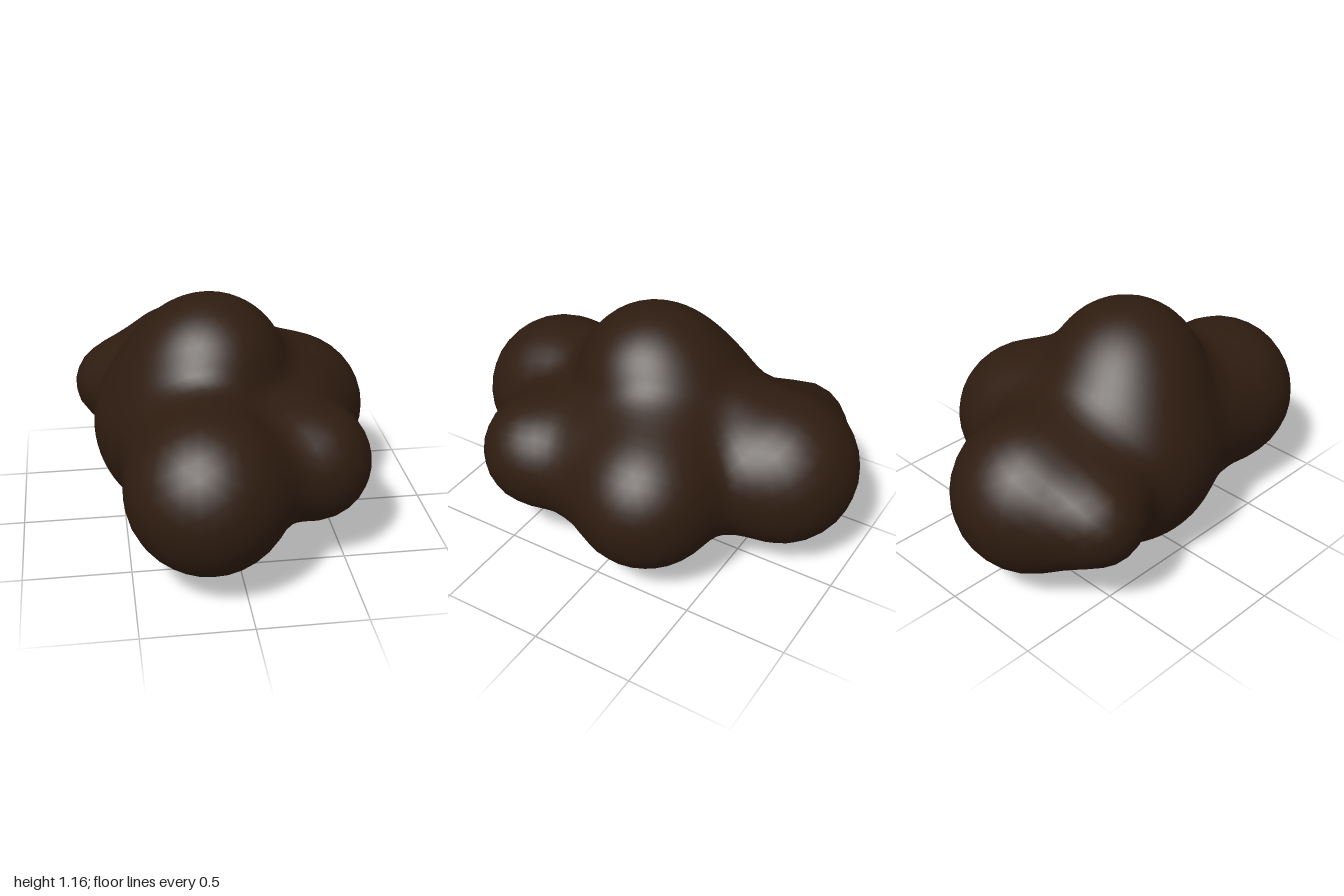
import * as THREE from 'three';
import { mergeVertices } from 'three/addons/utils/BufferGeometryUtils.js';

// Lobes of the lump: x, y, z, radius
const LOBES = [
  [-0.15, 0.48, -0.08, 0.48],   // core
  [-0.08, 0.79, 0.03, 0.368],   // crown
  [-0.155, 0.48, 0.625, 0.375], // front
  [-0.18, 0.48, 0.32, 0.3],     // bridge from core to front
  [0.34, 0.48, 0.41, 0.28],     // front left
  [0.36, 0.48, -0.19, 0.352],   // left
  [0.18, 0.48, -0.15, 0.33],    // bridge from core to left
  [0.3, 0.48, 0.13, 0.24],      // bridge from left to front left
  [-0.145, 0.48, -0.63, 0.37],  // back
  [-0.51, 0.48, -0.57, 0.2],    // back right
];
const BLEND = 0.18;

// Distance to the lobes, melted together with a smooth minimum
function distance(p) {
  let d = Infinity;
  for (const [x, y, z, r] of LOBES) {
    const e = Math.hypot(p.x - x, p.y - y, p.z - z) - r;
    const h = Math.max(BLEND - Math.abs(d - e), 0) / BLEND;
    d = Math.min(d, e) - h * h * BLEND / 4;
  }
  return d;
}

export function createModel() {
  const group = new THREE.Group();
  group.name = 'lump';

  // Pull a sphere's vertices in toward the core until they meet the surface
  let geo = new THREE.IcosahedronGeometry(1, 14);
  geo.deleteAttribute('uv');
  geo.deleteAttribute('normal');
  geo = mergeVertices(geo, 1e-4);
  const pos = geo.attributes.position;
  const centre = new THREE.Vector3(-0.1, 0.5, 0);
  const dir = new THREE.Vector3();
  const p = new THREE.Vector3();
  for (let i = 0; i < pos.count; i++) {
    dir.fromBufferAttribute(pos, i).normalize();
    let t = 1.6;
    for (let step = 0; step < 80; step++) {
      const d = distance(p.copy(centre).addScaledVector(dir, t));
      if (d < 1e-4) break;
      t -= d;
    }
    pos.setXYZ(i, p.x, p.y, p.z);
  }
  geo.computeVertexNormals();

  const body = new THREE.Mesh(geo, new THREE.MeshStandardMaterial({ color: 0x2e1c10 }));
  body.name = 'body';
  group.add(body);
  return group;
}
